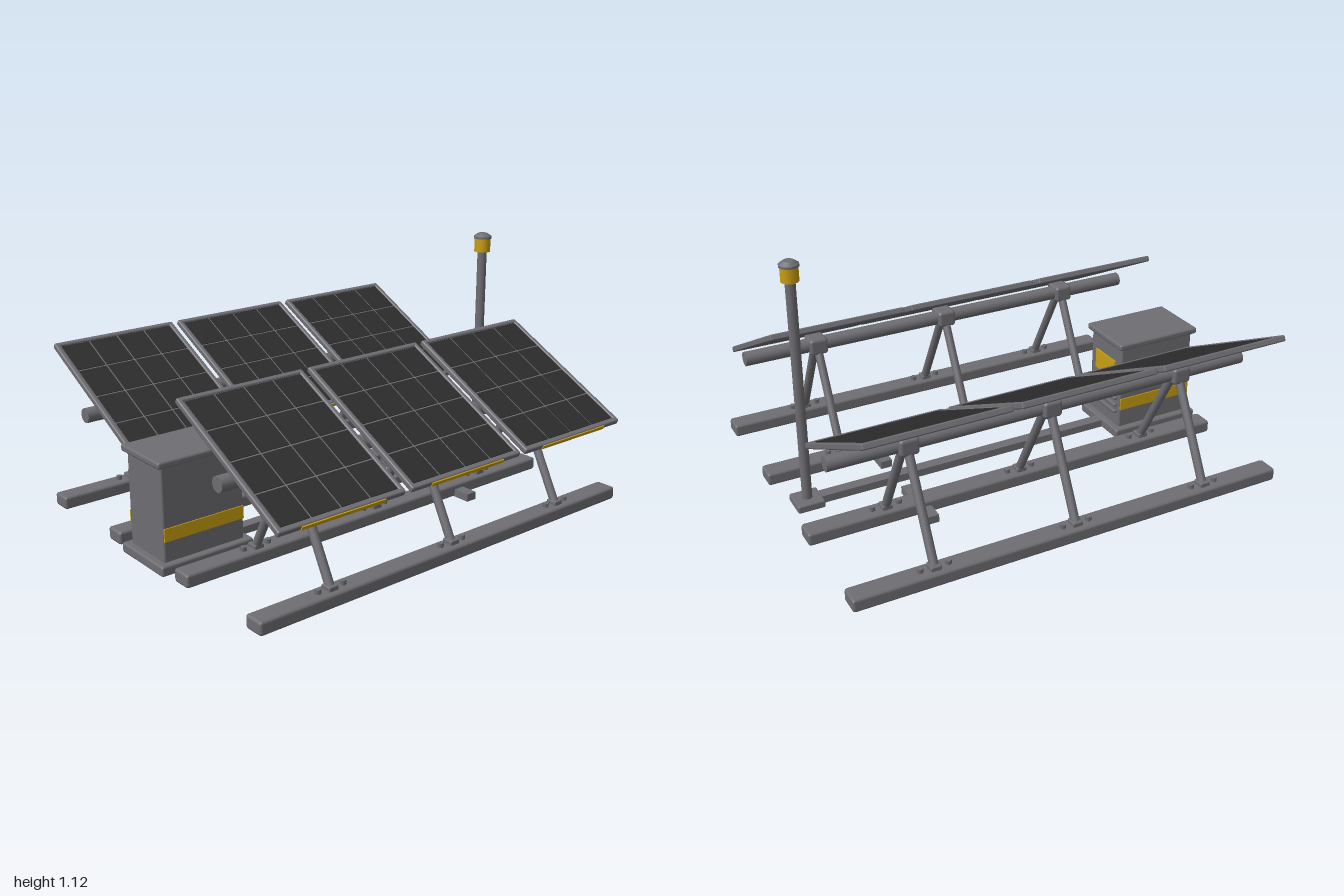
import * as THREE from 'three';
import { RoundedBoxGeometry } from 'three/addons/geometries/RoundedBoxGeometry.js';

export function createModel() {
  const material = (name, color) => {
    const m = new THREE.MeshStandardMaterial({ color });
    m.name = name;
    return m;
  };
  const metal = material('grey metal', 0x6e6e73);
  const cellDark = material('dark solar cell', 0x2d2d2d);
  const yellow = material('safety yellow', 0xc99f10);

  const model = new THREE.Group();
  model.name = 'solarArray';

  const add = (parent, name, geometry, mat, x, y, z) => {
    const mesh = new THREE.Mesh(geometry, mat);
    mesh.name = name;
    mesh.position.set(x, y, z);
    parent.add(mesh);
    return mesh;
  };
  const box = (parent, name, mat, size, pos) =>
    add(parent, name, new THREE.BoxGeometry(...size), mat, ...pos);
  const bevelBox = (parent, name, mat, size, pos, r = 0.01) =>
    add(parent, name, new RoundedBoxGeometry(...size, 1, r), mat, ...pos);
  // Round bar between two points
  const bar = (parent, name, a, b, r, sides = 12) => {
    const from = new THREE.Vector3(...a), to = new THREE.Vector3(...b);
    const dir = to.clone().sub(from);
    const mesh = add(parent, name, new THREE.CylinderGeometry(r, r, dir.length(), sides), metal, 0, 0, 0);
    mesh.position.copy(from).add(to).multiplyScalar(0.5);
    mesh.quaternion.setFromUnitVectors(new THREE.Vector3(0, 1, 0), dir.normalize());
    return mesh;
  };

  const bays = [-0.622, 0.009, 0.641];

  // One framed panel of 4 x 4 cells, lying flat before it is tilted
  function makePanel() {
    const g = new THREE.Group();
    g.name = 'solarPanel';
    const w = 0.598, l = 0.715, t = 0.026, rim = 0.021;
    box(g, 'panelBacking', metal, [w - 0.02, 0.018, l - 0.02], [0, -0.002, 0]);
    for (const s of [-1, 1]) {
      bevelBox(g, 'sideFrame', metal, [rim, t, l], [s * (w - rim) / 2, 0, 0], 0.006);
      bevelBox(g, 'endFrame', metal, [w, t, rim], [0, 0, s * (l - rim) / 2], 0.006);
    }
    const px = (w - 2 * rim) / 4, pz = (l - 2 * rim) / 4;
    for (let i = 0; i < 4; i++) {
      for (let j = 0; j < 4; j++) {
        box(g, 'solarCell', cellDark, [px - 0.008, 0.006, pz - 0.008],
          [(i - 1.5) * px, 0.007, (j - 1.5) * pz]);
      }
    }
    box(g, 'lowerEdgeStripe', yellow, [0.395, 0.018, 0.006], [0, 0, l / 2 + 0.001]);
    return g;
  }

  // A row: two ground rails, three A-frames, a torque tube and three panels
  function makeRow(z) {
    const row = new THREE.Group();
    row.name = 'panelRow';
    row.position.z = z;
    model.add(row);
    for (const s of [-1, 1]) {
      bevelBox(row, 'groundRail', metal, [1.975, 0.058, 0.094], [0.008, 0.031, s * 0.237], 0.012);
    }
    bar(row, 'torqueTube', [-0.955, 0.49, 0], [0.972, 0.49, 0], 0.032, 16);
    for (const x of bays) {
      bevelBox(row, 'tubeClamp', metal, [0.085, 0.076, 0.096], [x, 0.491, 0], 0.015);
      for (const s of [-1, 1]) {
        bar(row, 'supportLeg', [x, 0.05, s * 0.243], [x, 0.475, s * 0.018], 0.019);
        bevelBox(row, 'legFoot', metal, [0.046, 0.025, 0.05], [x, 0.066, s * 0.235], 0.005);
        for (const b of [-1, 1]) {
          add(row, 'footBolt', new THREE.CylinderGeometry(0.013, 0.013, 0.022, 6), metal,
            x + b * 0.06, 0.067, s * 0.237);
        }
      }
      const panel = makePanel();
      panel.position.set(x, 0.556, 0);
      panel.rotation.x = THREE.MathUtils.degToRad(27.5);
      row.add(panel);
    }
  }
  makeRow(0.49);
  makeRow(-0.49);

  // Cable duct between the cabinet and the mast, and short cross ties
  box(model, 'cableDuct', metal, [1.45, 0.034, 0.052], [0.135, 0.02, 0]);
  for (const s of [-1, 1]) {
    box(model, 'crossTie', metal, [0.052, 0.035, 0.27], [0.482, 0.02, s * 0.245]);
  }

  // Control cabinet
  const cabinet = new THREE.Group();
  cabinet.name = 'controlCabinet';
  cabinet.position.x = -0.78;
  model.add(cabinet);
  bevelBox(cabinet, 'cabinetBase', metal, [0.44, 0.045, 0.31], [0, 0.0235, 0], 0.01);
  bevelBox(cabinet, 'cabinetBody', metal, [0.38, 0.41, 0.252], [0, 0.245, 0], 0.008);
  bevelBox(cabinet, 'cabinetLid', metal, [0.42, 0.03, 0.285], [0, 0.459, 0], 0.01);
  for (const s of [-1, 1]) {
    box(cabinet, 'cabinetStripe', yellow, [0.376, 0.056, 0.006], [0, 0.162, s * 0.128]);
  }
  box(cabinet, 'warningPlate', yellow, [0.008, 0.094, 0.158], [0.193, 0.318, 0]);
  for (let i = 0; i < 4; i++) {
    bevelBox(cabinet, 'ventLouvre', metal, [0.024, 0.016, 0.205], [0.192, 0.113 + i * 0.035, 0], 0.006);
  }

  // Beacon mast
  const mast = new THREE.Group();
  mast.name = 'beaconMast';
  mast.position.x = 0.893;
  model.add(mast);
  bevelBox(mast, 'mastBase', metal, [0.122, 0.036, 0.122], [0, 0.02, 0], 0.008);
  bar(mast, 'mastPole', [0, 0.03, 0], [0, 1.04, 0], 0.022, 12);
  add(mast, 'beaconLamp', new THREE.CylinderGeometry(0.038, 0.038, 0.066, 12), yellow, 0, 1.063, 0);
  add(mast, 'beaconRim', new THREE.CylinderGeometry(0.042, 0.042, 0.01, 12), metal, 0, 1.097, 0);
  add(mast, 'beaconCap', new THREE.CylinderGeometry(0.022, 0.042, 0.014, 12), metal, 0, 1.109, 0);

  return model;
}
